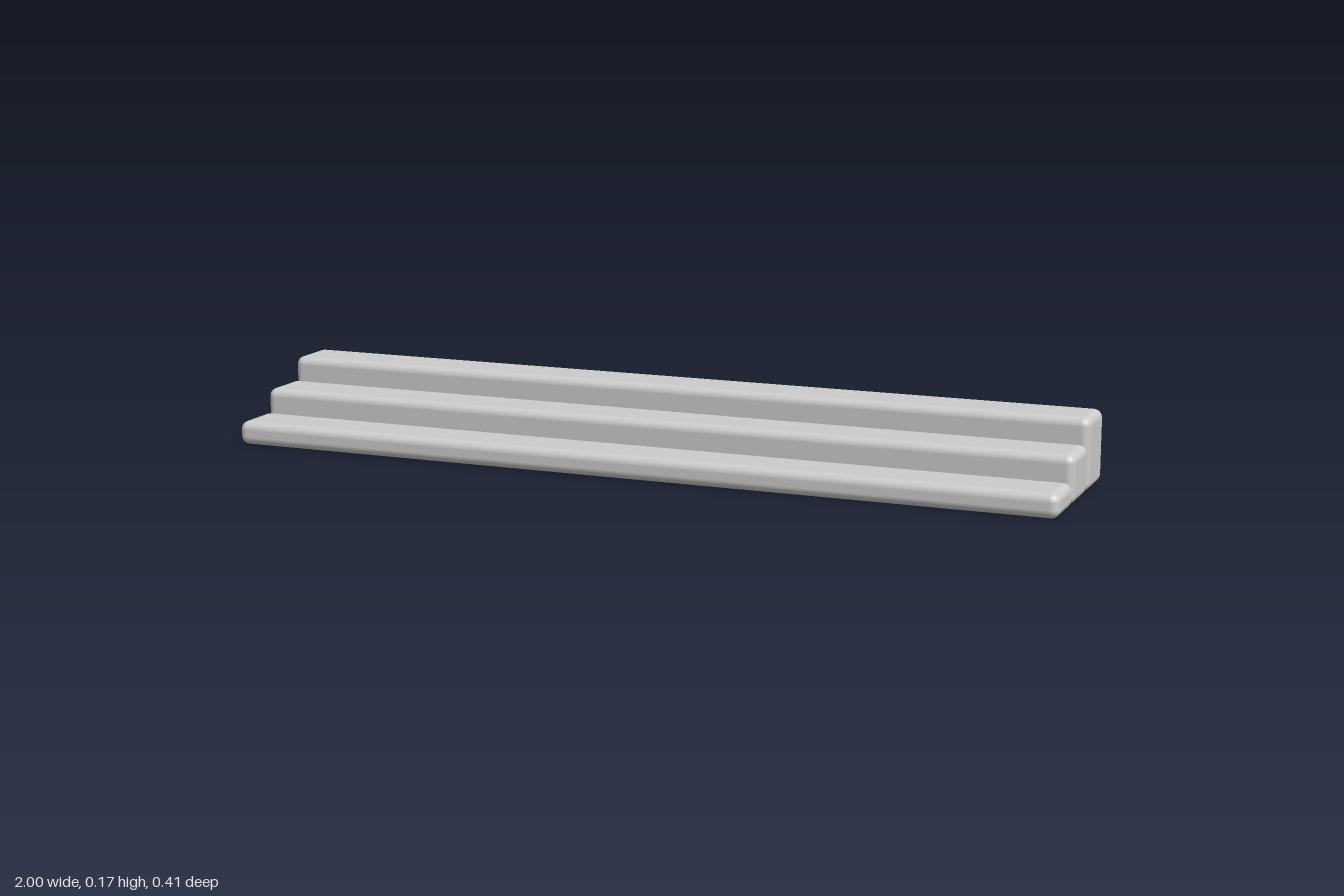
import * as THREE from 'three';
import { RoundedBoxGeometry } from 'three/addons/geometries/RoundedBoxGeometry.js';

export function createModel() {
  const model = new THREE.Group();
  model.name = 'steps';
  const stone = new THREE.MeshStandardMaterial({ color: 0xcccccc });
  stone.name = 'light grey stone';

  // Three long rounded blocks, rising towards the back
  const depth = 0.133, spacing = 0.136, rise = 0.056, radius = 0.02;
  ['lowerStep', 'middleStep', 'upperStep'].forEach((name, i) => {
    const height = rise * (i + 1);
    const step = new THREE.Mesh(new RoundedBoxGeometry(2, height, depth, 4, radius), stone);
    step.name = name;
    step.position.set(0, height / 2, (1 - i) * spacing);
    model.add(step);
  });
  return model;
}
